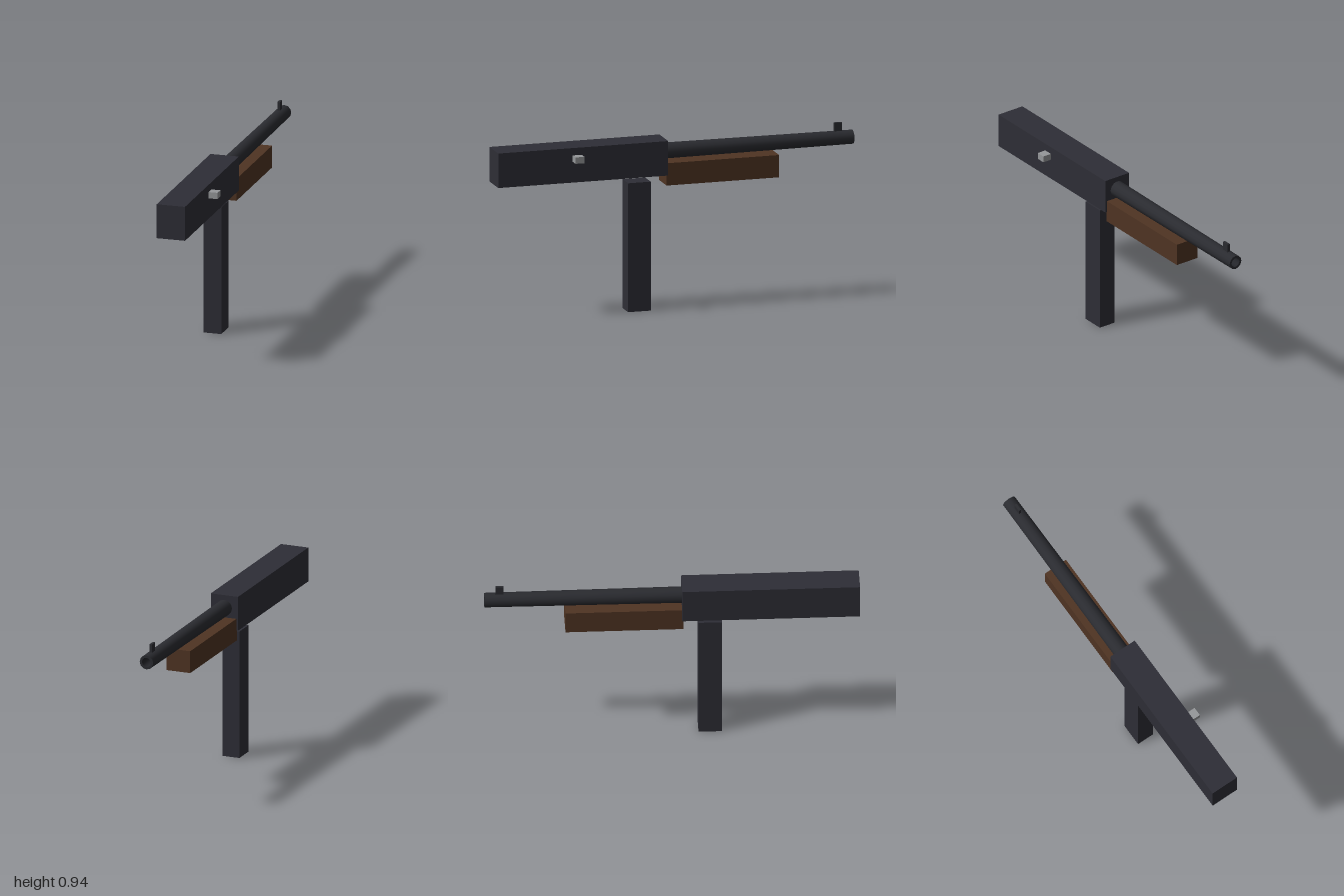
import * as THREE from 'three';

const mat = (name, color) => Object.assign(new THREE.MeshStandardMaterial({ color }), { name });

export function createModel() {
  const group = new THREE.Group();
  const gunmetal = mat('gunmetal', 0x2e2e36);
  const barrelSteel = mat('barrel steel', 0x2a2b30);
  const wood = mat('wood', 0x4f3423);
  const steel = mat('bright steel', 0x96989a);
  const axisX = -0.026;

  // Box given by its minimum and maximum corners
  const box = (name, material, [x0, y0, z0], [x1, y1, z1]) => {
    const mesh = new THREE.Mesh(new THREE.BoxGeometry(x1 - x0, y1 - y0, z1 - z0), material);
    mesh.position.set((x0 + x1) / 2, (y0 + y1) / 2, (z0 + z1) / 2);
    mesh.name = name;
    group.add(mesh);
  };

  box('receiver', gunmetal, [-0.105, 0.74, 0.052], [0.053, 0.929, 1]);
  box('magazine', gunmetal, [-0.075, 0, 0.14], [0.023, 0.706, 0.266]);
  box('handguard', wood, [-0.095, 0.683, -0.57], [0.042, 0.805, 0.058]);
  box('frontSight', barrelSteel, [-0.033, 0.88, -0.94], [-0.019, 0.943, -0.898]);
  box('boltHandle', steel, [0.05, 0.854, 0.535], [0.103, 0.889, 0.585]);

  // Slightly tapered barrel, running towards -z
  const tube = new THREE.Mesh(new THREE.CylinderGeometry(0.039, 0.044, 1.06, 12, 1, true), barrelSteel);
  tube.name = 'barrelTube';
  tube.position.y = 0.53;

  // Muzzle rim and bore
  const rim = new THREE.Mesh(new THREE.RingGeometry(0.026, 0.039, 12), barrelSteel);
  rim.name = 'muzzleRim';
  rim.rotation.set(-Math.PI / 2, 0, Math.PI / 2);
  rim.position.y = 1.06;
  const bore = new THREE.Mesh(
    new THREE.LatheGeometry([[0.026, 1.06], [0.026, 0.96], [0, 0.96]].map(([r, y]) => new THREE.Vector2(r, y)), 12),
    mat('bore steel', 0x25262b));
  bore.material.side = THREE.DoubleSide;
  bore.name = 'bore';

  const barrel = new THREE.Group();
  barrel.name = 'barrel';
  barrel.add(tube, rim, bore);
  barrel.rotation.x = -Math.PI / 2;
  barrel.position.set(axisX, 0.859, 0.06);
  group.add(barrel);

  return group;
}
